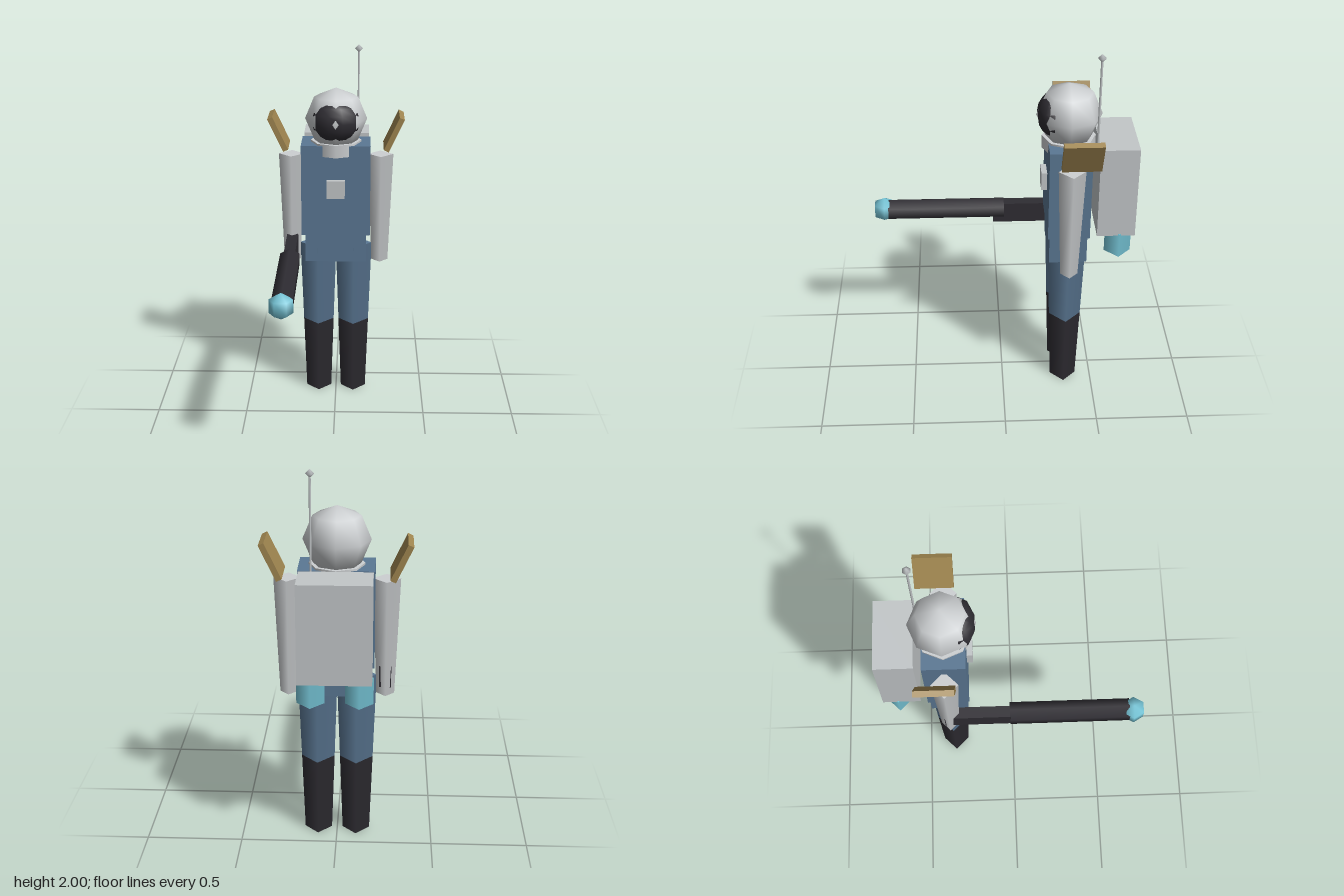
import * as THREE from 'three';

export function createModel() {
  const model = new THREE.Group();
  model.name = 'spaceTrooper';
  const Z = -0.345; // depth of the body's centre line

  const mat = (name, color) => {
    const m = new THREE.MeshStandardMaterial({ color });
    m.name = name;
    return m;
  };
  const blue = mat('suitBlue', 0x5b7894);
  const white = mat('shellWhite', 0xcdd0d2);
  const grey = mat('packGrey', 0xc3c7c9);
  const dark = mat('darkRubber', 0x2f2d33);
  const gold = mat('padGold', 0xa08650);
  const cyan = mat('glowCyan', 0x78c8da);

  const add = (name, geometry, material, x, y, z) => {
    const mesh = new THREE.Mesh(geometry, material);
    mesh.name = name;
    mesh.position.set(x, y, z);
    model.add(mesh);
    return mesh;
  };
  const box = (name, m, w, h, d, x, y, z) =>
    add(name, new THREE.BoxGeometry(w, h, d), m, x, y, z);
  // Upright tapered column between two heights
  const column = (name, m, rTop, rBottom, sides, y0, y1, x, z) =>
    add(name, new THREE.CylinderGeometry(rTop, rBottom, y1 - y0, sides), m, x, (y0 + y1) / 2, z);

  // Trunk
  box('torso', blue, 0.38, 0.51, 0.22, 0, 1.235, Z);
  box('hips', blue, 0.34, 0.16, 0.2, 0, 0.9, Z);
  box('chestPanel', grey, 0.1, 0.1, 0.03, 0, 1.25, -0.22);
  column('collar', white, 0.14, 0.14, 8, 1.43, 1.5, 0, Z);

  // Helmet and visor
  add('helmet', new THREE.SphereGeometry(0.17, 8, 4), white, 0, 1.62, Z);
  const visor = add('visor', new THREE.SphereGeometry(1, 10, 8), dark, 0, 1.62, Z + 0.084);
  visor.scale.set(0.13, 0.112, 0.083);

  // Limbs, shoulder pads and thrusters, mirrored
  for (const [side, s] of [['left', 1], ['right', -1]]) {
    column(side + 'Arm', white, 0.07, 0.046, 4, 0.8, 1.42, s * 0.247, Z);
    column(side + 'Leg', blue, 0.102, 0.086, 4, 0.43, 0.9, s * 0.1, Z);
    column(side + 'Boot', dark, 0.086, 0.0715, 4, 0, 0.43, s * 0.1, Z);
    const pad = box(side + 'ShoulderPad', gold, 0.03, 0.2, 0.2, s * 0.318, 1.54, -0.387);
    pad.rotation.z = -s * 0.436;
    column(side + 'Thruster', cyan, 0.07, 0.07, 4, 0.86, 1.0, s * 0.12, -0.612);
  }

  // Backpack and antenna
  box('backpack', grey, 0.365, 0.51, 0.2, 0, 1.245, -0.593);
  column('antennaRod', grey, 0.006, 0.006, 6, 1.47, 1.98, 0.122, -0.482);
  add('antennaTip', new THREE.SphereGeometry(0.022, 6, 2), grey, 0.122, 1.978, -0.482);

  // Blaster held in the right hand
  box('blasterStock', dark, 0.062, 0.115, 0.41, -0.245, 0.898, -0.165);
  const barrel = new THREE.CylinderGeometry(0.06, 0.06, 0.64, 6).rotateX(Math.PI / 2);
  add('blasterBarrel', barrel, dark, -0.243, 0.918, 0.3);
  add('blasterMuzzle', new THREE.SphereGeometry(0.07, 6, 3), cyan, -0.247, 0.92, 0.642);

  return model;
}
